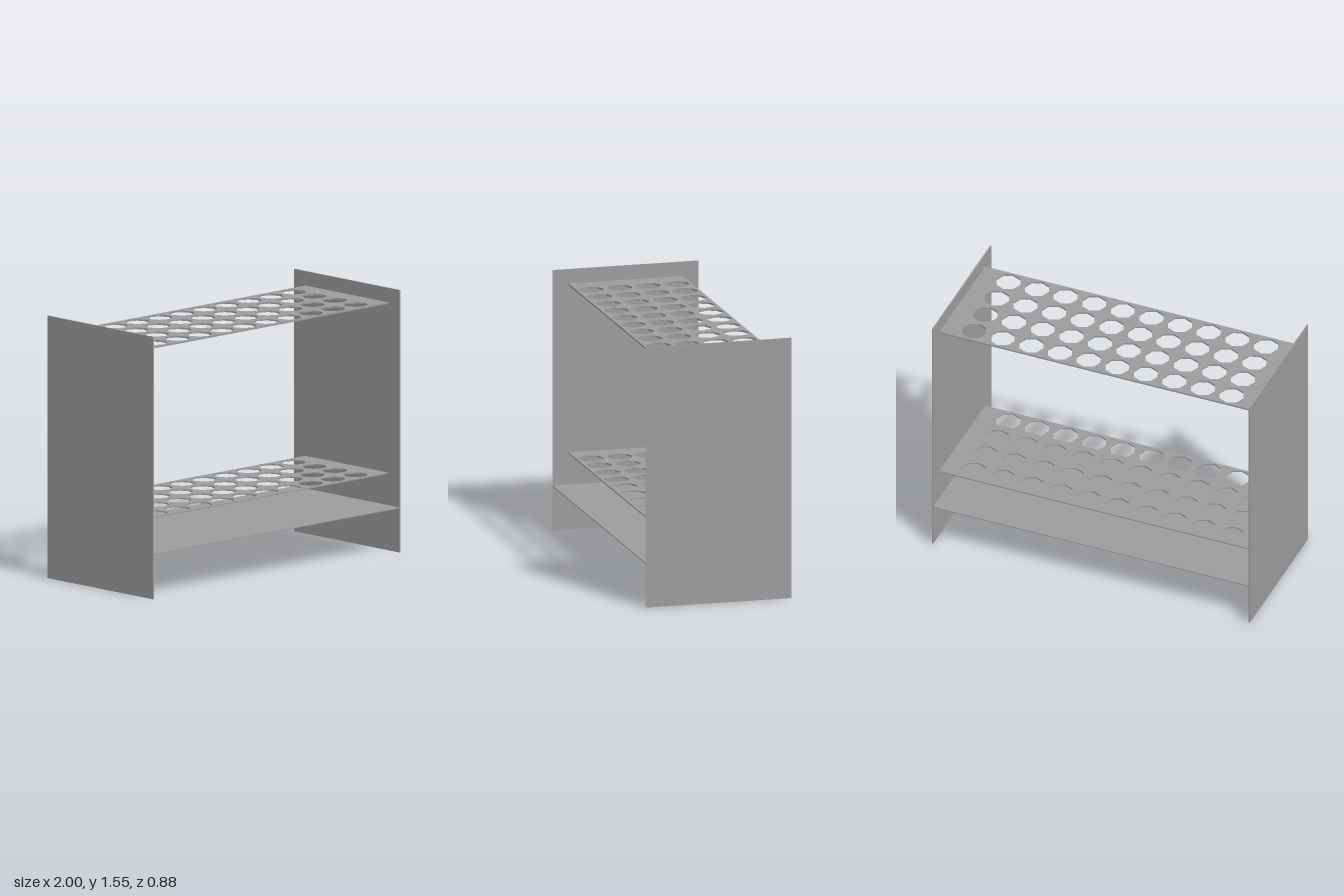
import * as THREE from 'three';

const WIDTH = 2, HEIGHT = 1.553, DEPTH = 0.88, WALL = 0.008;
const INNER = WIDTH - 2 * WALL;

export function createModel() {
  const group = new THREE.Group();
  const material = new THREE.MeshStandardMaterial({ color: 0x9d9d9d, flatShading: true });

  const add = (name, geometry, x, y) => {
    const mesh = new THREE.Mesh(geometry, material);
    mesh.name = name;
    mesh.position.set(x, y, 0);
    group.add(mesh);
  };

  // Horizontal plate with a 10 x 4 grid of eight-sided holes, centred on y = 0
  const perforatedPlate = (thickness) => {
    const hx = INNER / 2, hz = 0.345, radius = 0.075, sides = 8;
    const shape = new THREE.Shape([
      new THREE.Vector2(-hx, -hz), new THREE.Vector2(hx, -hz),
      new THREE.Vector2(hx, hz), new THREE.Vector2(-hx, hz),
    ]);
    for (let row = 0; row < 4; row++) {
      for (let col = 0; col < 10; col++) {
        const cx = (col - 4.5) * 0.18, cz = (row - 1.5) * 0.172;
        const points = [];
        for (let i = 0; i < sides; i++) {
          const a = Math.PI / 2 - (i / sides) * Math.PI * 2;
          points.push(new THREE.Vector2(cx + radius * Math.cos(a), cz + radius * Math.sin(a)));
        }
        shape.holes.push(new THREE.Path(points));
      }
    }
    return new THREE.ExtrudeGeometry(shape, { depth: thickness, bevelEnabled: false })
      .translate(0, 0, -thickness / 2)
      .rotateX(-Math.PI / 2);
  };

  // End panels
  for (const [name, s] of [['leftSidePanel', 1], ['rightSidePanel', -1]]) {
    add(name, new THREE.BoxGeometry(WALL, HEIGHT, DEPTH), s * (WIDTH - WALL) / 2, HEIGHT / 2);
  }

  // Perforated shelves and the solid bottom shelf
  add('topHoleShelf', perforatedPlate(0.01), 0, 1.463);
  add('middleHoleShelf', perforatedPlate(0.008), 0, 0.456);
  add('bottomShelf', new THREE.BoxGeometry(INNER, 0.006, DEPTH), 0, 0.264);

  return group;
}
